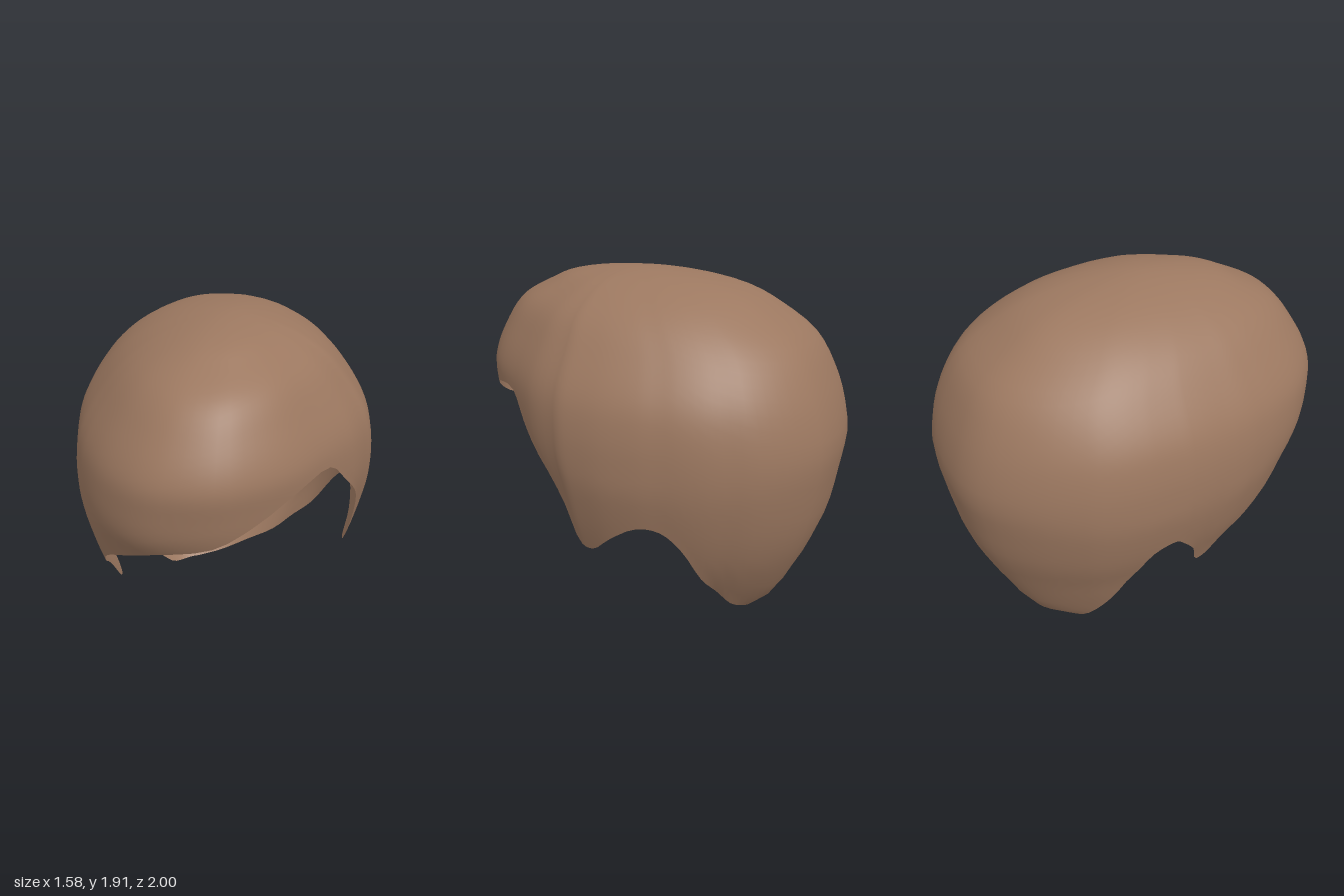
import * as THREE from 'three';

const TOP = 1.915;

// Shell sections by height: y, side scale, front scale, back scale, x shift, z shift
const SECTIONS = [
  [1.915, 0, 0, 0, 0, 0.1],
  [1.9, 0.18, 0.24, 0.22, 0, 0.1],
  [1.87, 0.32, 0.42, 0.4, 0, 0.09],
  [1.82, 0.47, 0.55, 0.56, 0, 0.08],
  [1.73, 0.64, 0.75, 0.69, 0, 0.05],
  [1.6, 0.79, 0.9, 0.82, 0, 0.01],
  [1.41, 0.94, 1, 0.92, 0, 0],
  [1.25, 0.99, 0.99, 0.975, 0, 0],
  [1.1, 1, 0.96, 1, 0, 0],
  [0.96, 0.99, 0.88, 0.985, 0, 0],
  [0.7, 0.91, 0.82, 0.94, 0, 0],
  [0.48, 0.8, 0.77, 0.86, 0, 0],
  [0.35, 0.72, 0.75, 0.8, -0.02, 0],
  [0.2, 0.62, 0.75, 0.73, -0.04, 0],
  [0.1, 0.53, 0.75, 0.66, -0.07, 0],
  [0, 0.43, 0.75, 0.55, -0.09, 0],
];

// Plan outline (x, z) with the height of the hairline below it: x, rim y, z
const RIM = [
  // nape to left ear
  [-0.1, 0, -1], [0.3, 0.04, -0.95], [0.5, 0.11, -0.83], [0.64, 0.22, -0.68],
  [0.7, 0.36, -0.56], [0.74, 0.48, -0.46], [0.77, 0.7, -0.33], [0.78, 0.79, -0.23],
  // left ear, sideburn and temple
  [0.79, 0.8, -0.12], [0.785, 0.7, 0.05], [0.76, 0.6, 0.19], [0.74, 0.61, 0.27],
  [0.7, 0.83, 0.34], [0.62, 1.06, 0.47], [0.53, 1.2, 0.57], [0.44, 1.32, 0.66],
  // swept fringe
  [0.25, 1.3, 0.84], [0.05, 1.2, 0.95], [-0.15, 1.1, 1], [-0.38, 1.04, 0.96],
  [-0.53, 0.96, 0.87], [-0.66, 0.85, 0.7], [-0.74, 0.67, 0.48],
  // right sideburn and ear
  [-0.765, 0.58, 0.36], [-0.78, 0.43, 0.26], [-0.785, 0.41, 0.17], [-0.79, 0.6, 0.05],
  [-0.79, 0.74, -0.07], [-0.785, 0.79, -0.13], [-0.77, 0.74, -0.25],
  // right ear back to nape
  [-0.755, 0.57, -0.34], [-0.72, 0.33, -0.47], [-0.66, 0.17, -0.6], [-0.5, 0.03, -0.8],
  [-0.3, 0, -0.95],
];

// Square-root depth below the crown keeps the dome round at its apex
const depth = (y) => Math.sqrt(Math.max(0, TOP - y));
const KNOTS = SECTIONS.map((s) => depth(s[0]));

// Smooth (Hermite) lookup of one section column at depth q
function section(q, col) {
  const last = KNOTS.length - 1;
  let i = 0;
  while (i < last - 1 && q > KNOTS[i + 1]) i++;
  const slope = (k) => {
    const a = Math.max(0, k - 1), b = Math.min(last, k + 1);
    return (SECTIONS[b][col] - SECTIONS[a][col]) / (KNOTS[b] - KNOTS[a]);
  };
  const h = KNOTS[i + 1] - KNOTS[i];
  const t = Math.min(1, (q - KNOTS[i]) / h), t2 = t * t, t3 = t2 * t;
  return SECTIONS[i][col] * (2 * t3 - 3 * t2 + 1) + SECTIONS[i + 1][col] * (3 * t2 - 2 * t3)
    + h * (slope(i) * (t3 - 2 * t2 + t) + slope(i + 1) * (t3 - t2));
}

function hairGeometry(cols, rows) {
  const rim = new THREE.CatmullRomCurve3(RIM.map((p) => new THREE.Vector3(...p)), true);
  const positions = [0, TOP, section(0, 5)];
  const index = [];
  for (let j = 0; j < cols; j++) {
    const p = rim.getPoint(j / cols);
    const rimDepth = depth(Math.max(0, p.y));
    const toFront = THREE.MathUtils.smoothstep(p.z, -0.25, 0.25);
    for (let i = 1; i <= rows; i++) {
      const q = rimDepth * i / rows;
      const zScale = THREE.MathUtils.lerp(section(q, 3), section(q, 2), toFront);
      positions.push(p.x * section(q, 1) + section(q, 4), TOP - q * q, p.z * zScale + section(q, 5));
    }
    // Join this column to the next one
    const a = 1 + j * rows, b = 1 + ((j + 1) % cols) * rows;
    index.push(0, b, a);
    for (let i = 0; i < rows - 1; i++) {
      index.push(a + i, b + i, a + i + 1, b + i, b + i + 1, a + i + 1);
    }
  }
  const geometry = new THREE.BufferGeometry();
  geometry.setAttribute('position', new THREE.Float32BufferAttribute(positions, 3));
  geometry.setIndex(index);
  geometry.computeVertexNormals();
  return geometry;
}

export function createModel() {
  const group = new THREE.Group();
  group.name = 'hairpiece';
  const brown = new THREE.MeshStandardMaterial({ color: 0x9c7860, side: THREE.DoubleSide });
  brown.name = 'light brown';
  const hair = new THREE.Mesh(hairGeometry(RIM.length * 3, 32), brown);
  hair.name = 'hair';
  group.add(hair);
  return group;
}
